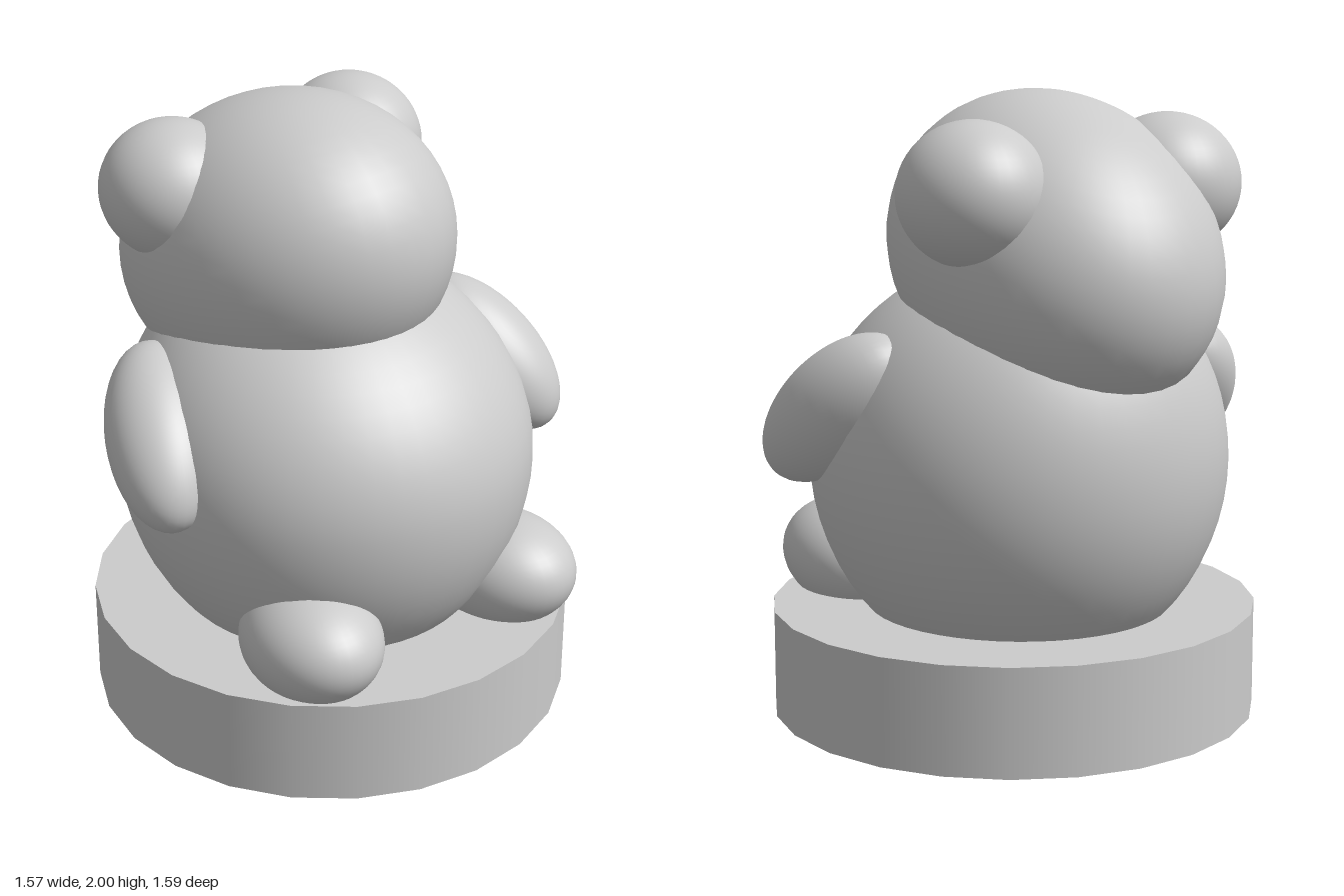
import * as THREE from 'three';
import { mergeVertices } from 'three/addons/utils/BufferGeometryUtils.js';

const material = new THREE.MeshStandardMaterial({ color: 0xcccccc });

function addMesh(parent, name, geometry, position) {
  const mesh = new THREE.Mesh(geometry, material);
  mesh.name = name;
  mesh.position.set(...position);
  parent.add(mesh);
  return mesh;
}

// Ellipsoid with the given half sizes
function ellipsoid(parent, name, position, radii) {
  const mesh = addMesh(parent, name, new THREE.SphereGeometry(1, 40, 28), position);
  mesh.scale.set(...radii);
  return mesh;
}

// Ellipsoid whose long (local x) axis points along a direction
function limb(parent, name, position, radii, direction) {
  const mesh = ellipsoid(parent, name, position, radii);
  mesh.quaternion.setFromUnitVectors(
    new THREE.Vector3(1, 0, 0), new THREE.Vector3(...direction).normalize());
  return mesh;
}

// Round belly: fuller below the middle, leaning towards -x above it
function bodyGeometry() {
  let geometry = new THREE.SphereGeometry(1, 48, 32);
  geometry.deleteAttribute('uv');
  geometry.deleteAttribute('normal');
  geometry = mergeVertices(geometry);
  const p = geometry.attributes.position;
  for (let i = 0; i < p.count; i++) {
    const y = p.getY(i) * (p.getY(i) > 0 ? 0.66 : 0.72);
    const lean = y > 0 ? 0.2 * y * y : 0;
    p.setXYZ(i, p.getX(i) * 0.685 - lean, y, p.getZ(i) * 0.67);
  }
  geometry.computeVertexNormals();
  return geometry;
}

export function createModel() {
  const model = new THREE.Group();
  model.name = 'bearFigure';

  // Round plinth
  const base = new THREE.CylinderGeometry(0.785, 0.785, 0.345, 24);
  addMesh(model, 'base', base, [0, 0.1725, 0]);

  addMesh(model, 'body', bodyGeometry(), [-0.025, 0.836, 0.005]);

  // Head, nose end lowered and turned slightly
  const head = ellipsoid(model, 'head', [-0.195, 1.495, 0.035], [0.612, 0.484, 0.49]);
  head.rotation.set(0, 0.1, 0.395, 'YZX');

  // Ears
  ellipsoid(model, 'earFront', [-0.32, 1.71, 0.37], [0.237, 0.22, 0.23]);
  ellipsoid(model, 'earBack', [-0.355, 1.705, -0.335], [0.243, 0.223, 0.23]);

  // Arms hanging down and outwards
  limb(model, 'armFront', [-0.075, 1.02, 0.595], [0.325, 0.175, 0.175], [0.2, -0.16, 0.09]);
  limb(model, 'armBack', [0.05, 1.02, -0.6], [0.32, 0.175, 0.175], [0.17, -0.17, -0.09]);

  // Feet pointing towards +x
  for (const [name, side] of [['footFront', 1], ['footBack', -1]]) {
    limb(model, name, [0.42, 0.45, side * 0.38], [0.275, 0.185, 0.215], [1, 0.12, side * 0.15]);
  }

  return model;
}
